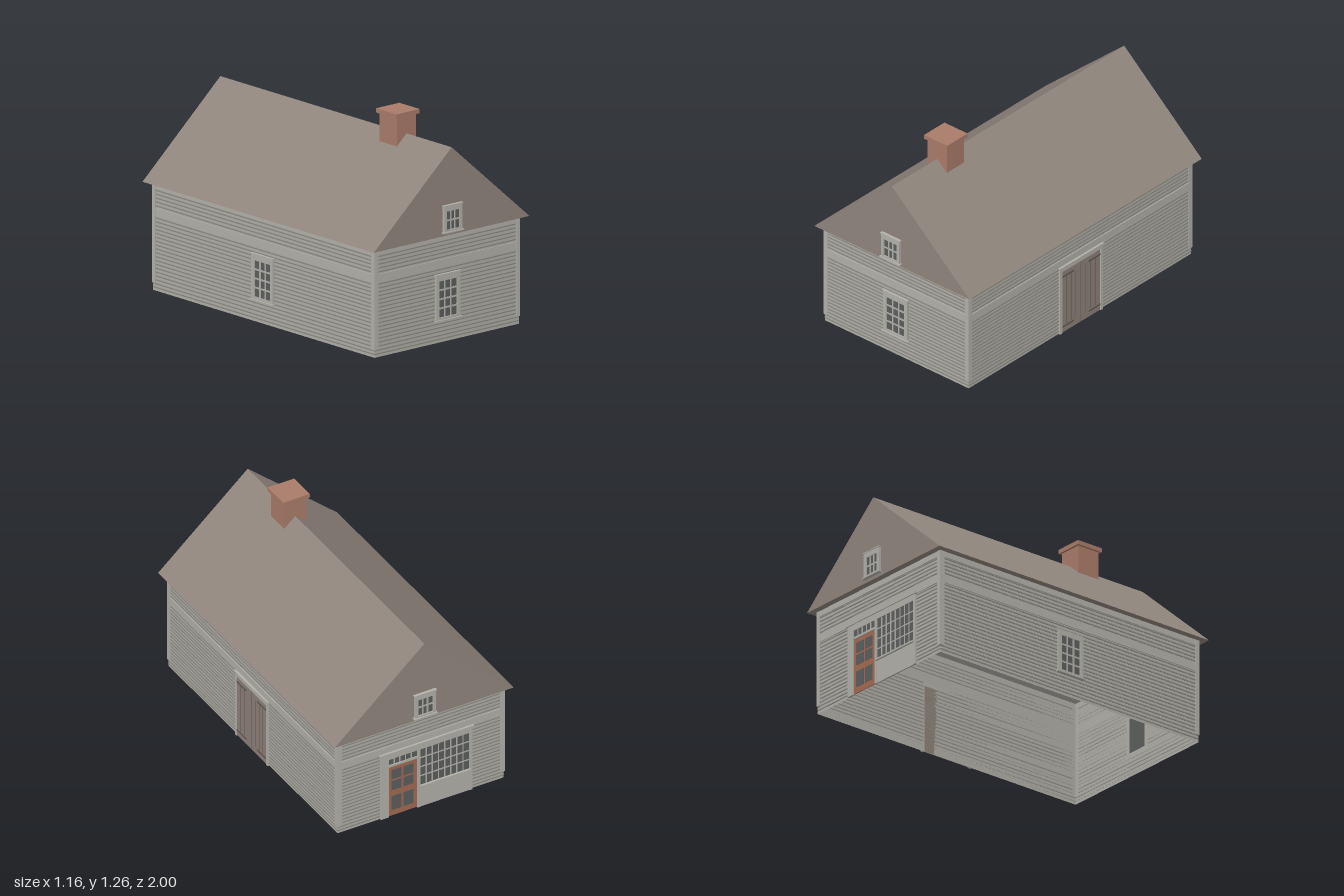
import * as THREE from 'three';

const std = (name, color, side = THREE.FrontSide) => {
  const m = new THREE.MeshStandardMaterial({ color, side });
  m.name = name;
  return m;
};

export function createModel() {
  const wallMat = std('wall grey', 0xb0aea7, THREE.DoubleSide);
  const trimMat = std('trim grey', 0xb2b0a9);
  const grooveMat = std('clapboard shade', 0x8b8a84);
  const roofMat = std('roof shingle brown', 0x8f857c);
  const barnMat = std('barn door brown', 0x8d8178);
  const seamMat = std('iron dark', 0x5f5a55);
  const glassMat = std('window glass', 0x5c5d5d);
  const brickMat = std('brick', 0xa97b69);
  const doorMat = std('door red', 0xa36a52);

  const house = new THREE.Group();
  house.name = 'house';

  // Box given by its limits
  const box = (parent, name, mat, x0, x1, y0, y1, z0, z1) => {
    const m = new THREE.Mesh(new THREE.BoxGeometry(x1 - x0, y1 - y0, z1 - z0), mat);
    m.position.set((x0 + x1) / 2, (y0 + y1) / 2, (z0 + z1) / 2);
    m.name = name;
    parent.add(m);
    return m;
  };

  // Group whose local z = 0 plane is an outer face of the house
  const side = (name, angle, dist) => {
    const g = new THREE.Group();
    g.name = name;
    g.rotation.y = angle;
    g.position.set(Math.sin(angle) * dist, 0, Math.cos(angle) * dist);
    house.add(g);
    return g;
  };

  // Grid of glazing bars over a glass plate
  const glazing = (g, x0, x1, y0, y1, cols, rows, bar, z, barMat = trimMat) => {
    box(g, 'glass', glassMat, x0, x1, y0, y1, 0, z);
    for (let i = 1; i < cols; i++) {
      const x = x0 + (x1 - x0) * i / cols;
      box(g, 'uprightBar', barMat, x - bar / 2, x + bar / 2, y0, y1, z, z + 0.003);
    }
    for (let j = 1; j < rows; j++) {
      const y = y0 + (y1 - y0) * j / rows;
      box(g, 'crossBar', barMat, x0, x1, y - bar / 2, y + bar / 2, z, z + 0.0028);
    }
  };

  // Framed window with cap and sill, centred on local x = 0
  const framedWindow = (parent, name, hw, y0, y1, gw, gy0, gy1, rows) => {
    const g = new THREE.Group();
    g.name = name;
    parent.add(g);
    for (const s of [-1, 1]) {
      box(g, 'windowJamb', trimMat, s > 0 ? gw : -hw, s > 0 ? hw : -gw, y0, y1, 0, 0.015);
    }
    box(g, 'windowHead', trimMat, -gw, gw, gy1, y1, 0, 0.015);
    box(g, 'windowApron', trimMat, -gw, gw, y0, gy0, 0, 0.015);
    box(g, 'windowCap', trimMat, -hw - 0.005, hw + 0.005, y1, y1 + 0.006, 0, 0.019);
    box(g, 'windowSill', trimMat, -hw - 0.008, hw + 0.008, y0 - 0.007, y0, 0, 0.023);
    glazing(g, -gw, gw, gy0, gy1, 3, rows, 0.01, 0.008);
  };

  // Wall shell, open underneath
  const shell = new THREE.BoxGeometry(1.07, 0.62, 1.87);
  const index = Array.from(shell.index.array);
  index.splice(18, 6);
  shell.setIndex(index);
  shell.clearGroups();
  const walls = new THREE.Mesh(shell, wallMat);
  walls.name = 'walls';
  walls.position.y = 0.31;
  house.add(walls);

  // Trim boards and clapboard lines on each wall
  const dressWall = (g, hw) => {
    for (const s of [-1, 1]) {
      const a = s * (hw + 0.005), b = s * (hw - 0.023);
      box(g, 'cornerBoard', trimMat, Math.min(a, b), Math.max(a, b), 0.045, 0.624, 0, 0.006);
    }
    box(g, 'middleBand', trimMat, -hw + 0.023, hw - 0.023, 0.433, 0.48, 0, 0.005);
    box(g, 'frieze', trimMat, -hw + 0.023, hw - 0.023, 0.59, 0.624, 0, 0.005);
    const line = (y, w) => box(g, 'clapboardLine', grooveMat, -w, w, y - 0.0035, y + 0.0035, 0, 0.003);
    for (let i = 0; i < 17; i++) line(0.064 + i * 0.0224, hw - 0.024);
    for (let i = 0; i < 5; i++) line(0.493 + i * 0.0224, hw - 0.024);
    line(0.02, hw);
    line(0.041, hw);
  };
  const front = side('frontWall', 0, 0.935);
  const back = side('backWall', Math.PI, 0.935);
  const left = side('leftWall', Math.PI / 2, 0.535);
  const right = side('rightWall', -Math.PI / 2, 0.535);
  dressWall(front, 0.535);
  dressWall(back, 0.535);
  dressWall(left, 0.935);
  dressWall(right, 0.935);

  framedWindow(front, 'frontWindow', 0.09, 0.133, 0.392, 0.067, 0.147, 0.358, 4);
  framedWindow(right, 'sideWindow', 0.09, 0.133, 0.392, 0.067, 0.147, 0.358, 4);

  // Gable roof as a solid prism
  const gable = new THREE.Shape();
  gable.moveTo(-0.578, 0.625);
  gable.lineTo(0.578, 0.625);
  gable.lineTo(0, 1.13);
  gable.closePath();
  const roof = new THREE.Mesh(
    new THREE.ExtrudeGeometry(gable, { depth: 1.954, bevelEnabled: false }), roofMat);
  roof.name = 'roof';
  roof.position.z = -0.977;
  house.add(roof);

  for (const [name, angle] of [['frontGable', 0], ['backGable', Math.PI]]) {
    framedWindow(side(name, angle, 0.977), 'gableWindow', 0.067, 0.65, 0.798, 0.047, 0.661, 0.768, 2);
  }

  // Chimney
  box(house, 'chimney', brickMat, -0.072, 0.072, 0.52, 1.235, 0.45, 0.596);
  box(house, 'chimneyCap', brickMat, -0.086, 0.086, 1.233, 1.258, 0.437, 0.609);

  // Barn doors with planks and strap hinges
  for (const s of [-1, 1]) {
    const span = (name, mat, a, b, y0, y1, z0, z1) =>
      box(left, name, mat, Math.min(s * a, s * b), Math.max(s * a, s * b), y0, y1, z0, z1);
    span('barnDoorJamb', trimMat, 0.162, 0.18, 0, 0.43, 0, 0.013);
    span('barnDoor', barnMat, 0.001, 0.162, 0.002, 0.405, 0, 0.008);
    for (const x of [0.042, 0.083, 0.123]) {
      span('plankSeam', seamMat, x - 0.0015, x + 0.0015, 0.05, 0.36, 0.008, 0.009);
    }
    for (const y of [0.04, 0.37]) {
      span('strapHinge', seamMat, 0.062, 0.165, y - 0.005, y + 0.005, 0.008, 0.012);
    }
  }
  box(left, 'doorMeetingSeam', seamMat, -0.0015, 0.0015, 0.002, 0.405, 0, 0.009);
  box(left, 'barnDoorHead', trimMat, -0.162, 0.162, 0.405, 0.43, 0, 0.013);
  box(left, 'barnDoorCap', trimMat, -0.185, 0.185, 0.43, 0.438, 0, 0.018);

  // Shop front: surround
  const shop = new THREE.Group();
  shop.name = 'shopFront';
  back.add(shop);
  box(shop, 'shopPilaster', trimMat, -0.262, -0.212, 0, 0.43, 0, 0.012);
  box(shop, 'shopPilaster', trimMat, 0.31, 0.328, 0, 0.43, 0, 0.012);
  box(shop, 'shopMullion', trimMat, -0.027, -0.008, 0, 0.395, 0, 0.012);
  box(shop, 'shopHead', trimMat, -0.212, 0.31, 0.392, 0.43, 0, 0.012);
  box(shop, 'shopCornice', trimMat, -0.272, 0.336, 0.43, 0.439, 0, 0.018);

  // Shop window with panel below
  box(shop, 'shopPanel', trimMat, -0.008, 0.31, 0, 0.14, 0, 0.009);
  box(shop, 'shopSill', trimMat, -0.012, 0.316, 0.136, 0.147, 0, 0.02);
  glazing(shop, -0.008, 0.31, 0.147, 0.392, 8, 4, 0.007, 0.006);

  // Shop door with transom light
  glazing(shop, -0.212, -0.027, 0.352, 0.392, 5, 1, 0.007, 0.006);
  box(shop, 'transomBar', trimMat, -0.212, -0.027, 0.338, 0.352, 0, 0.012);
  box(shop, 'shopDoor', doorMat, -0.212, -0.027, 0.003, 0.338, 0, 0.006);
  for (const x of [-0.19, -0.113]) {
    for (const [y0, y1] of [[0.04, 0.135], [0.175, 0.237], [0.249, 0.312]]) {
      box(shop, 'doorPane', glassMat, x, x + 0.064, y0, y1, 0.006, 0.008);
    }
  }
  return house;
}
